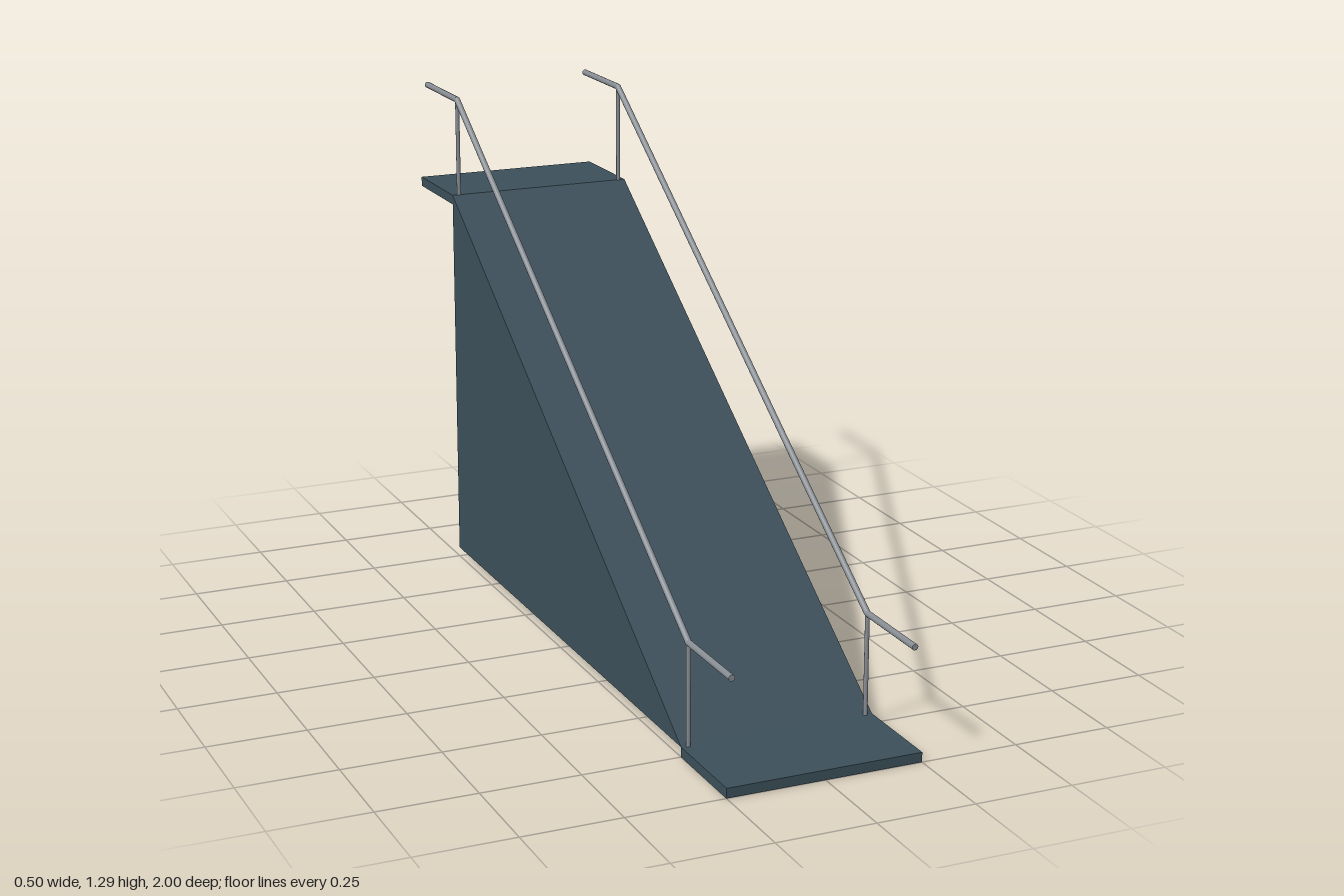
import * as THREE from 'three';

const WIDTH = 0.5, SLAB = 0.025, RISE = 1, HALF_RUN = 0.75, RAIL_Y = 0.283, RAIL_X = 0.232;

export function createModel() {
  const model = new THREE.Group();
  model.name = 'rampWithHandrails';
  const deck = new THREE.MeshStandardMaterial({ color: 0x3b4e59, flatShading: true });
  const metal = new THREE.MeshStandardMaterial({ color: 0x868c92 });

  const add = (parent, name, geometry, material) => {
    const mesh = new THREE.Mesh(geometry, material);
    mesh.name = name;
    parent.add(mesh);
    return mesh;
  };

  // Solid wedge: side profile extruded across the width
  const profile = new THREE.Shape([
    new THREE.Vector2(-HALF_RUN, SLAB),
    new THREE.Vector2(HALF_RUN, SLAB),
    new THREE.Vector2(HALF_RUN, SLAB + RISE),
  ]);
  const wedge = new THREE.ExtrudeGeometry(profile, { depth: WIDTH, bevelEnabled: false });
  wedge.translate(0, 0, -WIDTH / 2).rotateY(Math.PI / 2);
  add(model, 'ramp', wedge, deck);

  // Landings at the foot and head of the ramp
  const landing = new THREE.BoxGeometry(WIDTH, SLAB, 1 - HALF_RUN);
  const landingZ = (1 + HALF_RUN) / 2;
  add(model, 'lowerLanding', landing, deck).position.set(0, SLAB / 2, landingZ);
  add(model, 'upperLanding', landing, deck).position.set(0, RISE + SLAB / 2, -landingZ);

  // Round bar between two points in the plane of a handrail
  const bar = (parent, name, from, to, radius) => {
    const a = new THREE.Vector3(0, ...from), b = new THREE.Vector3(0, ...to);
    const dir = b.clone().sub(a);
    const mesh = add(parent, name, new THREE.CylinderGeometry(radius, radius, dir.length(), 12), metal);
    mesh.position.copy(a).add(b).multiplyScalar(0.5);
    mesh.quaternion.setFromUnitVectors(new THREE.Vector3(0, 1, 0), dir.normalize());
  };

  // Matching handrails on both sides
  for (const side of [-1, 1]) {
    const rail = new THREE.Group();
    rail.name = side > 0 ? 'leftHandrail' : 'rightHandrail';
    rail.position.x = side * RAIL_X;
    const low = [RAIL_Y, HALF_RUN], high = [RAIL_Y + RISE, -HALF_RUN];
    bar(rail, 'lowerRail', [RAIL_Y, 0.985], low, 0.008);
    bar(rail, 'slopedRail', low, high, 0.008);
    bar(rail, 'upperRail', high, [RAIL_Y + RISE, -0.985], 0.008);
    bar(rail, 'lowerPost', [SLAB, HALF_RUN], low, 0.0055);
    bar(rail, 'upperPost', [RISE + SLAB, -HALF_RUN], high, 0.0055);
    // Rounded elbows where the rail bends
    for (const [y, z] of [low, high]) {
      add(rail, 'elbow', new THREE.SphereGeometry(0.008, 12, 8), metal).position.set(0, y, z);
    }
    model.add(rail);
  }
  return model;
}
